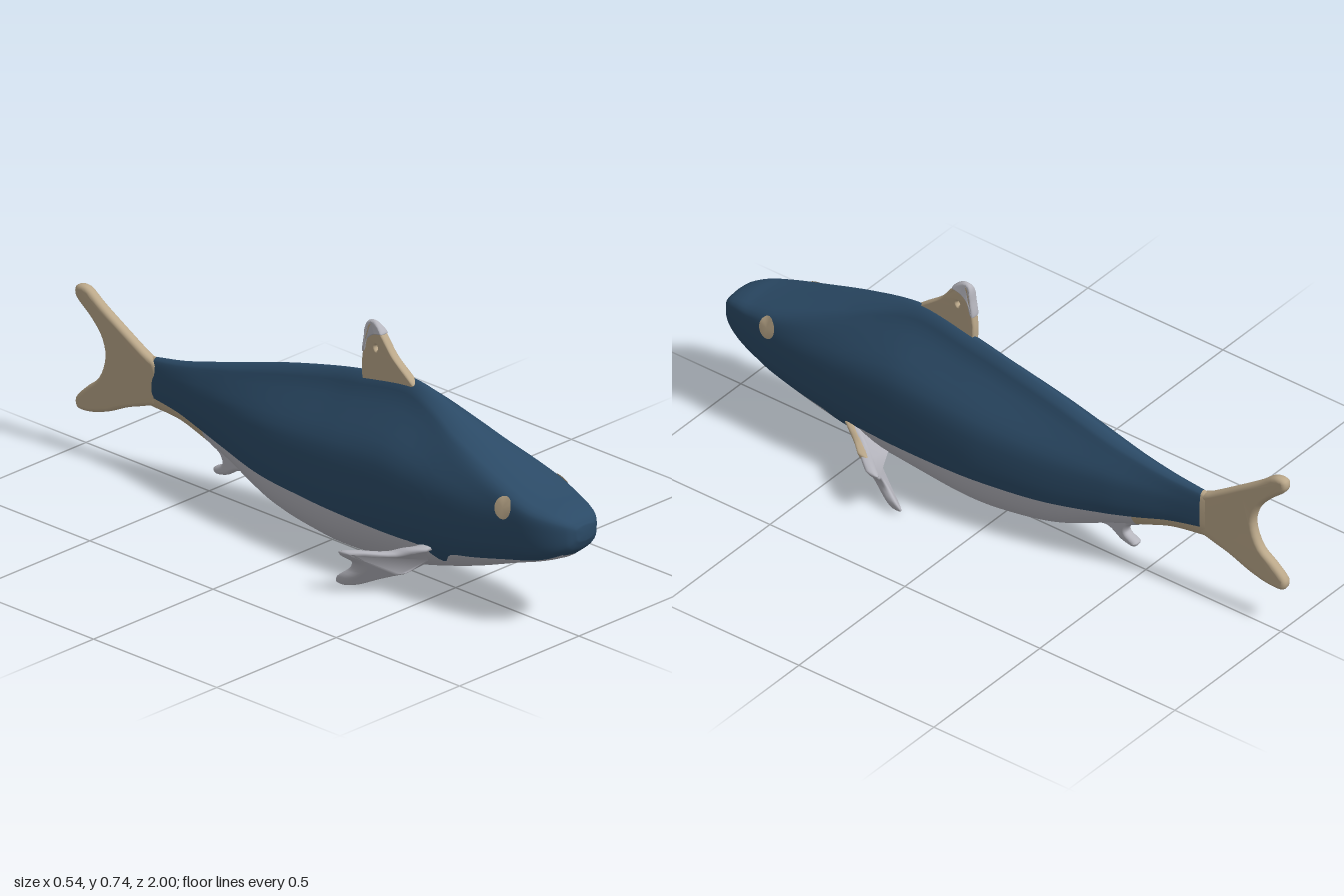
import * as THREE from 'three';
import { mergeVertices } from 'three/addons/utils/BufferGeometryUtils.js';

const mat = (name, color, side = THREE.FrontSide) => {
  const m = new THREE.MeshStandardMaterial({ color, side });
  m.name = name;
  return m;
};

// Body stations: z, top, bottom, half width, centre x, colour split height, ridge amount
const STATIONS = [
  [1.0, 0.345, 0.3, 0.035, 0.03, 0.304, 0],
  [0.985, 0.366, 0.268, 0.062, 0.028, 0.275, 0],
  [0.94, 0.388, 0.232, 0.09, 0.022, 0.247, 0],
  [0.88, 0.405, 0.205, 0.11, 0.02, 0.225, 0],
  [0.8, 0.433, 0.175, 0.124, 0.022, 0.208, 0.05],
  [0.6, 0.51, 0.1, 0.143, 0.013, 0.172, 0.4],
  [0.4, 0.588, 0.04, 0.15, 0.01, 0.166, 0.85],
  [0.3, 0.606, 0.02, 0.151, 0.01, 0.166, 1],
  [0.12, 0.575, 0.003, 0.148, 0.01, 0.172, 1],
  [0, 0.55, 0.007, 0.14, 0.01, 0.175, 1],
  [-0.2, 0.5, 0.045, 0.115, 0.006, 0.18, 0.9],
  [-0.4, 0.44, 0.13, 0.075, 0.004, 0.2, 0.7],
  [-0.5, 0.412, 0.165, 0.052, 0, 0.215, 0.6],
  [-0.6, 0.387, 0.197, 0.032, -0.007, 0.235, 0.4],
  [-0.72, 0.368, 0.21, 0.017, -0.015, 0.25, 0.2],
];
// Half-width fraction by height fraction, for the boxy head and the ridged trunk
const HEAD = [[0, 0], [0.05, 0.52], [0.13, 0.8], [0.25, 0.93], [0.4, 0.98], [0.6, 1], [0.8, 0.98], [0.9, 0.89], [0.97, 0.6], [1, 0]];
const TRUNK = [[0, 0], [0.04, 0.3], [0.1, 0.56], [0.17, 0.77], [0.26, 0.92], [0.38, 1], [0.56, 0.97], [0.67, 0.86], [0.83, 0.44], [0.9, 0.26], [0.97, 0.14], [1, 0]];

// Smooth interpolation of a column in a table sorted by its first column
function at(table, col, v) {
  const n = table.length - 1, s = Math.sign(table[n][0] - table[0][0]);
  let i = 0;
  while (i < n - 1 && s * (v - table[i + 1][0]) > 0) i++;
  const slope = (k) => {
    const a = table[Math.max(k - 1, 0)], b = table[Math.min(k + 1, n)];
    return (b[col] - a[col]) / (b[0] - a[0]);
  };
  const a = table[i], b = table[i + 1], d = b[0] - a[0];
  const t = THREE.MathUtils.clamp((v - a[0]) / d, 0, 1), t2 = t * t, t3 = t2 * t;
  return (2 * t3 - 3 * t2 + 1) * a[col] + (t3 - 2 * t2 + t) * d * slope(i)
    + (3 * t2 - 2 * t3) * b[col] + (t3 - t2) * d * slope(i + 1);
}

function halfWidth(z, h) {
  const r = at(STATIONS, 6, z);
  return at(STATIONS, 3, z) * Math.max(0, (1 - r) * at(HEAD, 1, h) + r * at(TRUNK, 1, h));
}

// Body: rings lofted from nose to tail, with a row of points on the colour split
function bodyGeometry() {
  const RINGS = 130, LOW = 9, UP = 15, N = LOW + UP, LOOP = 2 * N;
  const pos = [], zs = [], faces = [[], [], []];
  for (let i = 0; i <= RINGS; i++) {
    const z = 1 - 1.72 * Math.pow(i / RINGS, 1.3);
    zs.push(z);
    const [top, bottom, cx, ridge] = [1, 2, 4, 6].map((c) => at(STATIONS, c, z));
    const dip = 0.047 * Math.exp(-(((z - 0.53) / 0.035) ** 2));
    const split = (at(STATIONS, 5, z) - dip - bottom) / (top - bottom);
    for (let j = 0; j < LOOP; j++) {
      const k = j <= N ? j : LOOP - j;
      const h = k <= LOW ? split * (k / LOW) ** 1.7 : 1 - (1 - split) * (1 - (k - LOW) / UP) ** 1.5;
      const x = k === 0 || k === N ? 0 : halfWidth(z, h);
      // the back ridge leans a little to the left
      const lean = 0.01 * ridge * h * h;
      pos.push(cx + lean + (j <= N ? x : -x), bottom + h * (top - bottom), z);
    }
  }
  const colourOf = (i, j) => {
    if (zs[i] < -0.695) return 2;
    if ((j >= LOW && j < LOOP - LOW) || zs[i] > 0.962) return 0;
    return zs[i] < -0.48 ? 2 : 1;
  };
  for (let i = 0; i < RINGS; i++) for (let j = 0; j < LOOP; j++) {
    const j1 = (j + 1) % LOOP;
    const a = i * LOOP + j, b = i * LOOP + j1, c = a + LOOP, d = b + LOOP;
    faces[colourOf(i, j)].push(a, c, b, b, c, d);
  }
  // nose cap
  const nose = pos.length / 3;
  pos.push(0.03, 0.322, 1.0);
  for (let j = 0; j < LOOP; j++) faces[0].push(nose, j, (j + 1) % LOOP);
  const g = new THREE.BufferGeometry();
  g.setAttribute('position', new THREE.Float32BufferAttribute(pos, 3));
  g.setIndex(faces.flat());
  let start = 0;
  faces.forEach((f, m) => { g.addGroup(start, f.length, m); start += f.length; });
  g.computeVertexNormals();
  return g;
}

// Closed smooth outline as 2D points
const smooth = (pts, n = 72) => new THREE.CatmullRomCurve3(pts.map(([x, y]) => new THREE.Vector3(x, y, 0)), true)
  .getPoints(n).slice(0, n).map((p) => new THREE.Vector2(p.x, p.y));

// Rounded slab of a given thickness, centred on its own plane, with an optional warp
function slab(pts, thickness, bevel, { hole, warp, turn } = {}) {
  const shape = new THREE.Shape(smooth(pts));
  if (hole) shape.holes.push(new THREE.Path(smooth(hole, 14)));
  const bt = thickness * 0.4;
  let g = new THREE.ExtrudeGeometry(shape, {
    depth: thickness - 2 * bt, bevelThickness: bt, bevelSize: bevel, bevelOffset: -bevel, bevelSegments: 4,
  });
  g.translate(0, 0, bt - thickness / 2);
  if (turn) g.rotateY(Math.PI / 2);
  g.deleteAttribute('uv');
  g.deleteAttribute('normal');
  g = mergeVertices(g, 1e-5);
  if (warp) {
    const p = g.attributes.position, v = new THREE.Vector3();
    for (let i = 0; i < p.count; i++) {
      warp(v.fromBufferAttribute(p, i));
      p.setXYZ(i, v.x, v.y, v.z);
    }
  }
  g.computeVertexNormals();
  return g;
}

export function createModel() {
  const model = new THREE.Group();
  model.name = 'fish';
  const blue = mat('deep blue', 0x2b4a66);
  const grey = mat('pale grey', 0xb5b5bd);
  const tan = mat('tan', 0xbaa789, THREE.DoubleSide);
  const add = (name, geometry, material) => {
    const m = new THREE.Mesh(geometry, material);
    m.name = name;
    model.add(m);
  };

  add('body', bodyGeometry(), [blue, grey, tan]);

  // Upright fins are outlined in (-z, y) and turned into the side plane
  const flip = (pts) => pts.map(([z, y]) => [-z, y]);
  add('tailFin', slab(flip([
    [-0.69, 0.35], [-0.735, 0.377], [-0.8, 0.418], [-0.9, 0.483], [-0.96, 0.525], [-0.995, 0.52], [-0.998, 0.49],
    [-0.94, 0.435], [-0.9, 0.385], [-0.885, 0.325], [-0.91, 0.25], [-0.96, 0.205], [-0.998, 0.16], [-0.99, 0.132],
    [-0.945, 0.13], [-0.875, 0.15], [-0.8, 0.185], [-0.735, 0.208], [-0.69, 0.23],
  ]), 0.034, 0.013, { turn: true, warp: (v) => { v.x += -0.015 + (v.z + 0.7) * 0.07; } }), tan);

  // Dorsal fin thins out to a rounded tip and has a small hole
  const dorsalWarp = (v) => { v.x = 0.011 + v.x * Math.sqrt(THREE.MathUtils.clamp((0.752 - v.y) / 0.035, 0.05, 1)); };
  add('dorsalFin', slab(flip([
    [0.33, 0.59], [0.31, 0.61], [0.245, 0.66], [0.2, 0.715], [0.165, 0.742], [0.14, 0.736], [0.13, 0.69], [0.118, 0.59],
    [0.13, 0.54], [0.25, 0.55],
  ]), 0.028, 0.006, {
    turn: true, warp: dorsalWarp,
    hole: flip([[0.184, 0.667], [0.178, 0.658], [0.172, 0.668], [0.178, 0.677]]),
  }), tan);
  add('dorsalFinTip', slab(flip([
    [0.202, 0.715], [0.165, 0.746], [0.138, 0.74], [0.127, 0.69], [0.122, 0.64], [0.134, 0.645], [0.146, 0.685], [0.168, 0.705],
  ]), 0.032, 0.005, { turn: true, warp: dorsalWarp }), grey);

  add('analFin', slab(flip([
    [-0.3, 0.1], [-0.37, 0.108], [-0.42, 0.08], [-0.465, 0.073], [-0.474, 0.088], [-0.437, 0.113],
    [-0.447, 0.14], [-0.49, 0.167], [-0.45, 0.2], [-0.33, 0.16],
  ]), 0.035, 0.012, { turn: true }), grey);

  // Forked pectoral fins, outlined from the front and swept back, with roots sunk in the body
  const FIN = [
    [0.09, 0.17], [0.15, 0.163], [0.18, 0.145], [0.245, 0.147], [0.272, 0.14], [0.262, 0.122], [0.232, 0.098], [0.223, 0.07],
    [0.233, 0.035], [0.223, 0.008], [0.2, 0.01], [0.165, 0.037], [0.13, 0.058], [0.095, 0.068], [0.065, 0.075], [0.065, 0.12],
  ];
  const INNER = {
    left: [[0.205, 0.125], [0.23, 0.131], [0.248, 0.128], [0.23, 0.115]],
    right: [[0.185, 0.125], [0.215, 0.13], [0.25, 0.131], [0.235, 0.115], [0.205, 0.11]],
  };
  const ROOT = [[0.135, 0.168], [0.152, 0.164], [0.18, 0.148], [0.224, 0.148], [0.221, 0.12], [0.2, 0.1], [0.17, 0.1], [0.148, 0.125]];
  for (const side of [1, -1]) {
    const mirror = (pts) => pts.map(([x, y]) => [side * x, y]);
    const sweep = (dz) => ({
      warp: (v) => { v.z += 0.46 - 1.15 * (Math.max(Math.abs(v.x), 0.13) - 0.12) + 0.84 * (v.y - 0.12) + dz; },
    });
    const label = side > 0 ? 'left' : 'right';
    add(label + 'PectoralFin', slab(mirror(FIN), 0.052, 0.012, sweep(0)), grey);
    add(label + 'FinInnerPatch', slab(mirror(INNER[label]), 0.008, 0.003, sweep(-0.025)), blue);
    if (side > 0) add('leftFinShoulder', slab(ROOT, 0.04, 0.007, sweep(0.01)), tan);

    // Eye: oval patch that follows the side of the head
    const eye = new THREE.CircleGeometry(1, 28);
    const p = eye.attributes.position;
    for (let i = 0; i < p.count; i++) {
      const z = 0.79 + 0.029 * p.getX(i), y = 0.378 + 0.034 * p.getY(i);
      const bottom = at(STATIONS, 2, z), h = (y - bottom) / (at(STATIONS, 1, z) - bottom);
      p.setXYZ(i, at(STATIONS, 4, z) + side * (halfWidth(z, h) + 0.005), y, z);
    }
    if (side > 0) eye.setIndex([...eye.index.array].reverse());
    eye.computeVertexNormals();
    add(label + 'Eye', eye, tan);
  }
  return model;
}
